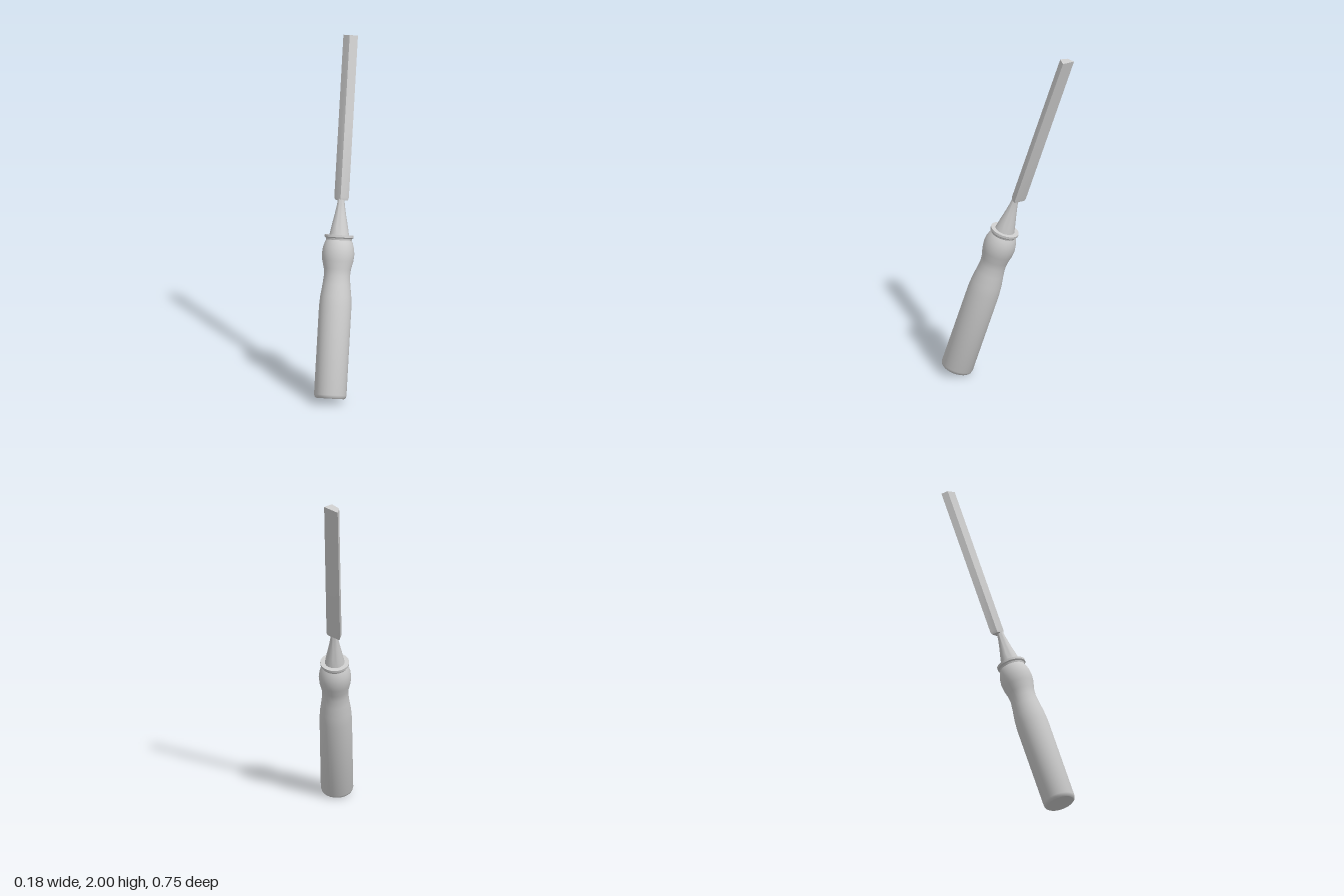
import * as THREE from 'three';
import { toCreasedNormals } from 'three/addons/utils/BufferGeometryUtils.js';

const steel = new THREE.MeshStandardMaterial({ color: 0xcccccc });
steel.name = 'pale grey';

function addMesh(parent, name, geometry, crease) {
  const mesh = new THREE.Mesh(toCreasedNormals(geometry, crease), steel);
  mesh.name = name;
  parent.add(mesh);
}

// Turned part from [radius, height] pairs
function turned(profile) {
  return new THREE.LatheGeometry(profile.map(([r, y]) => new THREE.Vector2(r, y)), 32);
}

// Closed loft through rings of [x, z] points, one ring per height
function loft(rings) {
  const n = rings[0].points.length;
  const positions = [];
  const index = [];
  rings.forEach(({ y, points }) => points.forEach(([x, z]) => positions.push(x, y, z)));
  for (let i = 0; i < rings.length - 1; i++) {
    for (let j = 0; j < n; j++) {
      const a = i * n + j, b = i * n + (j + 1) % n;
      index.push(a, b, b + n, a, b + n, a + n);
    }
  }
  const top = (rings.length - 1) * n;
  for (let j = 1; j < n - 1; j++) {
    index.push(0, j + 1, j, top, top + j, top + j + 1);
  }
  const geometry = new THREE.BufferGeometry();
  geometry.setAttribute('position', new THREE.Float32BufferAttribute(positions, 3));
  geometry.setIndex(index);
  return geometry;
}

// Blade section: front ridge, right edge, back corner, left edge; "round" swells the front faces
function bladeSection(scale, round) {
  return [
    [0, 0.024], [0.022 + round, 0.011 + round], [0.043, -0.002],
    [-0.036, -0.052], [-0.043, -0.014], [-0.022 - round, 0.005 + round],
  ].map(([x, z]) => [x * scale, -0.012 + (z + 0.012) * scale]);
}

export function createModel() {
  const model = new THREE.Group();
  model.name = 'chisel';

  // The whole tool leans backwards
  const tool = new THREE.Group();
  tool.name = 'tool';
  tool.position.set(0, 0.026, 0.295);
  tool.rotation.x = -0.307;
  model.add(tool);

  // Handle with chamfered butt, waist and bulge
  addMesh(tool, 'handle', turned([
    [0, 0], [0.08, 0], [0.088, 0.007], [0.092, 0.02], [0.092, 0.52], [0.088, 0.58],
    [0.079, 0.645], [0.074, 0.695], [0.077, 0.735], [0.088, 0.78], [0.092, 0.82],
    [0.088, 0.855], [0.079, 0.885], [0.07, 0.902], [0, 0.902],
  ]), 0.6);

  // Thin collar on top of the handle
  addMesh(tool, 'collar', turned([
    [0, 0.895], [0.071, 0.895], [0.075, 0.908], [0.082, 0.914], [0.082, 0.927], [0, 0.927],
  ]), 0.5);

  // Tapering neck
  addMesh(tool, 'neck', turned([
    [0, 0.922], [0.057, 0.922], [0.046, 0.98], [0.033, 1.04], [0.022, 1.1], [0.017, 1.15], [0, 1.15],
  ]), 0.6);

  // Blade, rounded near the neck and sharply ridged towards the tip
  addMesh(tool, 'blade', loft([
    { y: 1.125, points: bladeSection(0.88, 0.003) },
    { y: 1.14, points: bladeSection(1, 0.003) },
    { y: 1.57, points: bladeSection(1, 0.001) },
    { y: 2.06, points: bladeSection(1, 0) },
  ]), 0.8);

  return model;
}
